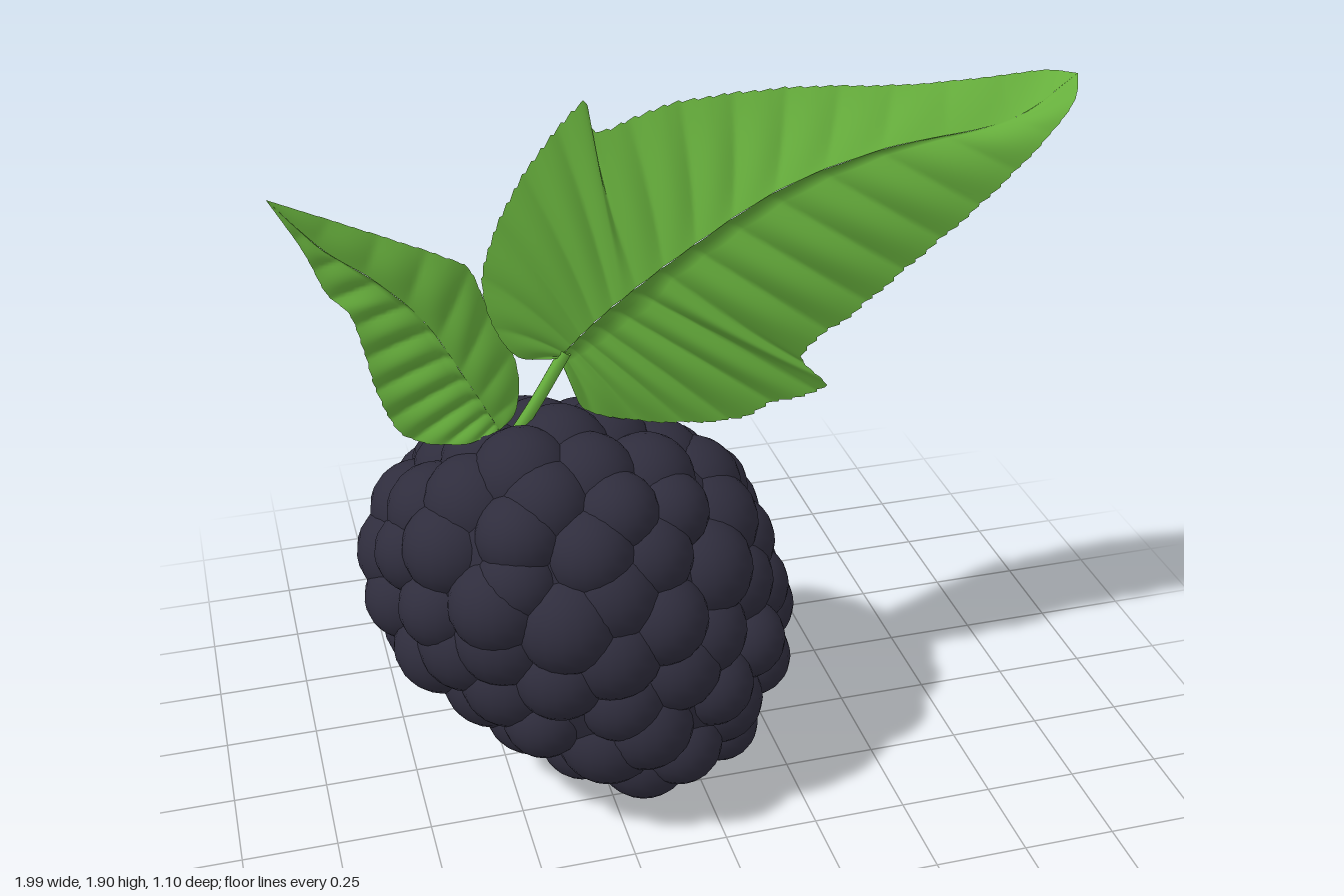
import * as THREE from 'three';
import { mergeGeometries } from 'three/addons/utils/BufferGeometryUtils.js';

const berryMat = new THREE.MeshStandardMaterial({ color: 0x2f2d3d });
berryMat.name = 'berry purple black';
const leafMat = new THREE.MeshStandardMaterial({ color: 0x66ae3c, side: THREE.DoubleSide });
leafMat.name = 'leaf green';

let seed = 7;
const rand = () => (seed = (seed * 16807) % 2147483647) / 2147483647;
const curve = (pts) => new THREE.CatmullRomCurve3(pts.map((p) => new THREE.Vector3(...p)));

// Half a leaf: a pleated sheet ruled from the midrib to a serrated edge
function leafHalf(rib, edge, { pleats, teeth, depth, fan, bulge, step = 0 }) {
  const nu = teeth * 4, nv = 12, pos = [], index = [];
  for (let i = 0; i <= nu; i++) {
    const u = i / nu;
    const a = rib.getPointAt(Math.pow(u, fan)), b = edge.getPointAt(u);
    const fade = Math.sin(Math.PI * Math.min(1, u * 0.95 + 0.05));
    const tooth = 1 + 0.022 * ((i % 4) / 4 - 0.5) * (i > 3 && i < nu - 3 ? 1 : 0);
    for (let j = 0; j <= nv; j++) {
      const v = Math.pow(j / nv, 1.4);
      const p = a.clone().lerp(b, v * (j === nv ? tooth : 1));
      const ridge = Math.abs(Math.sin(Math.PI * pleats * (u + 0.03 * v)));
      p.z += fade * (depth * (ridge - 0.5) * Math.sin(Math.PI * (0.1 + 0.75 * v))
        + bulge * Math.sin(Math.PI * v)
        - step * THREE.MathUtils.smoothstep(v, 0, 0.08) * (1 - v));
      pos.push(p.x, p.y, p.z);
      if (i < nu && j < nv) {
        const k = i * (nv + 1) + j, n = k + nv + 1;
        index.push(k, n, k + 1, n, n + 1, k + 1);
      }
    }
  }
  const g = new THREE.BufferGeometry();
  g.setAttribute('position', new THREE.Float32BufferAttribute(pos, 3));
  g.setIndex(index);
  g.computeVertexNormals();
  return g;
}

function makeLeaf(name, ribPts, upperPts, lowerPts, upperOpt, lowerOpt) {
  const leaf = new THREE.Group();
  leaf.name = name;
  const rib = curve(ribPts);
  [['upperHalf', upperPts, upperOpt], ['lowerHalf', lowerPts, lowerOpt]].forEach(([n, pts, opt]) => {
    const half = new THREE.Mesh(leafHalf(rib, curve(pts), opt), leafMat);
    half.name = n;
    leaf.add(half);
  });
  return leaf;
}

// Berry cross-sections from bottom to top: y, x min, x max, z min, z max
const sections = [
  [0, -0.02, 0.08, -0.12, 0.08], [0.04, -0.22, 0.12, -0.28, 0.24], [0.1, -0.4, 0.17, -0.36, 0.4],
  [0.2, -0.55, 0.24, -0.47, 0.5], [0.35, -0.73, 0.3, -0.53, 0.54], [0.5, -0.83, 0.3, -0.54, 0.55],
  [0.65, -0.86, 0.27, -0.52, 0.55], [0.8, -0.84, 0.2, -0.45, 0.53], [0.95, -0.78, 0.1, -0.31, 0.46],
  [1.05, -0.66, -0.06, -0.14, 0.39], [1.1, -0.56, -0.24, -0.02, 0.31], [1.13, -0.5, -0.38, 0.06, 0.24],
];
const center = new THREE.Vector3(-0.28, 0.56, 0);

// Point on the berry for a unit direction, drawn inward by the inset
function berryPoint(dir, inset) {
  const y = 0.565 + 0.565 * dir.y;
  const i = Math.max(1, sections.findIndex((s) => s[0] >= y - 1e-6));
  const lo = sections[i - 1], hi = sections[i];
  const [, x0, x1, z0, z1] = lo.map((v, k) => THREE.MathUtils.lerp(v, hi[k], (y - lo[0]) / (hi[0] - lo[0])));
  const t = Math.atan2(dir.z, dir.x);
  const p = new THREE.Vector3((x0 + x1) / 2 + Math.cos(t) * (x1 - x0) / 2, y,
    (z0 + z1) / 2 + Math.sin(t) * (z1 - z0) / 2);
  return p.addScaledVector(p.clone().sub(center).normalize(), -inset);
}

// Berry: round drupelets packed over a solid core
function makeBerry() {
  const core = new THREE.SphereGeometry(1, 32, 24), cp = core.attributes.position;
  for (let i = 0; i < cp.count; i++) {
    const p = berryPoint(new THREE.Vector3().fromBufferAttribute(cp, i), 0.06);
    cp.setXYZ(i, p.x, p.y, p.z);
  }
  core.computeVertexNormals();
  const parts = [core], count = 120;
  for (let i = 0; i < count; i++) {
    const y = 1 - (2 * (i + 0.5)) / count, s = Math.sqrt(1 - y * y);
    const t = i * Math.PI * (3 - Math.sqrt(5)) + (rand() - 0.5) * 0.25;
    const r = 0.105 + rand() * 0.035;
    const p = berryPoint(new THREE.Vector3(Math.cos(t) * s, y, Math.sin(t) * s), r - 0.012 + rand() * 0.024);
    parts.push(new THREE.SphereGeometry(r, 20, 14).translate(p.x, p.y, p.z));
  }
  const berry = new THREE.Mesh(mergeGeometries(parts), berryMat);
  berry.name = 'berry';
  return berry;
}

export function createModel() {
  const model = new THREE.Group();
  model.name = 'blackberry';
  model.add(makeBerry());

  // Tiny dried hair on the side of the berry
  const hair = new THREE.Mesh(new THREE.ConeGeometry(0.01, 0.1, 6), berryMat);
  hair.name = 'driedHair';
  hair.position.set(0.23, 0.26, -0.26);
  hair.quaternion.setFromUnitVectors(new THREE.Vector3(0, 1, 0), new THREE.Vector3(0.88, 0.2, -0.43).normalize());
  model.add(hair);

  // Stem
  const stem = new THREE.Mesh(new THREE.TubeGeometry(
    curve([[-0.46, 1.06, 0.1], [-0.39, 1.16, 0.095], [-0.31, 1.28, 0.08]]), 12, 0.017, 8), leafMat);
  stem.name = 'stem';
  model.add(stem);

  // Large leaf, pointing to the upper right
  model.add(makeLeaf('largeLeaf',
    [[-0.33, 1.27, 0.09], [-0.22, 1.37, 0.09], [0, 1.52, 0.085], [0.25, 1.66, 0.085],
      [0.5, 1.74, 0.1], [0.83, 1.8, 0.13], [0.99, 1.9, 0.13]],
    [[-0.33, 1.27, 0.09], [-0.43, 1.29, 0.1], [-0.49, 1.38, 0.1], [-0.51, 1.5, 0.08], [-0.46, 1.63, 0.05],
      [-0.38, 1.74, 0.01], [-0.3, 1.82, -0.02], [-0.215, 1.88, -0.05], [-0.2, 1.81, -0.04], [0, 1.85, -0.06],
      [0.3, 1.865, -0.055], [0.6, 1.86, -0.01], [0.8, 1.875, 0.03], [0.94, 1.89, 0.06], [0.99, 1.9, 0.13]],
    [[-0.33, 1.27, 0.09], [-0.3, 1.2, 0.09], [-0.27, 1.12, 0.09], [-0.15, 1.07, 0.09], [0, 1.04, 0.09],
      [0.15, 1.03, 0.085], [0.23, 1.06, 0.085], [0.38, 1.09, 0.085], [0.31, 1.19, 0.09], [0.45, 1.31, 0.105],
      [0.6, 1.45, 0.13], [0.75, 1.6, 0.165], [0.9, 1.78, 0.2], [0.96, 1.86, 0.19], [0.99, 1.9, 0.13]],
    { pleats: 16, teeth: 56, depth: 0.016, fan: 2.1, bulge: 0.01 },
    { pleats: 16, teeth: 56, depth: 0.022, fan: 2.2, bulge: 0.015, step: 0.045 }));

  // Small leaf, pointing to the upper left
  model.add(makeLeaf('smallLeaf',
    [[-0.49, 1.1, 0.11], [-0.56, 1.24, 0.11], [-0.66, 1.42, 0.1], [-0.77, 1.54, 0.1],
      [-0.88, 1.63, 0.1], [-1, 1.77, 0.1]],
    [[-0.49, 1.1, 0.11], [-0.45, 1.13, 0.1], [-0.43, 1.2, 0.08], [-0.44, 1.29, 0.07], [-0.5, 1.43, 0.06],
      [-0.54, 1.53, 0.06], [-0.6, 1.57, 0.07], [-0.8, 1.67, 0.08], [-1, 1.77, 0.1]],
    [[-0.49, 1.1, 0.11], [-0.58, 1.09, 0.14], [-0.73, 1.14, 0.15], [-0.79, 1.27, 0.15], [-0.81, 1.37, 0.14],
      [-0.84, 1.48, 0.13], [-0.88, 1.52, 0.12], [-0.93, 1.64, 0.11], [-1, 1.77, 0.1]],
    { pleats: 8, teeth: 24, depth: 0.01, fan: 1.5, bulge: 0.01 },
    { pleats: 11, teeth: 28, depth: 0.02, fan: 1.6, bulge: 0, step: 0.015 }));

  return model;
}
